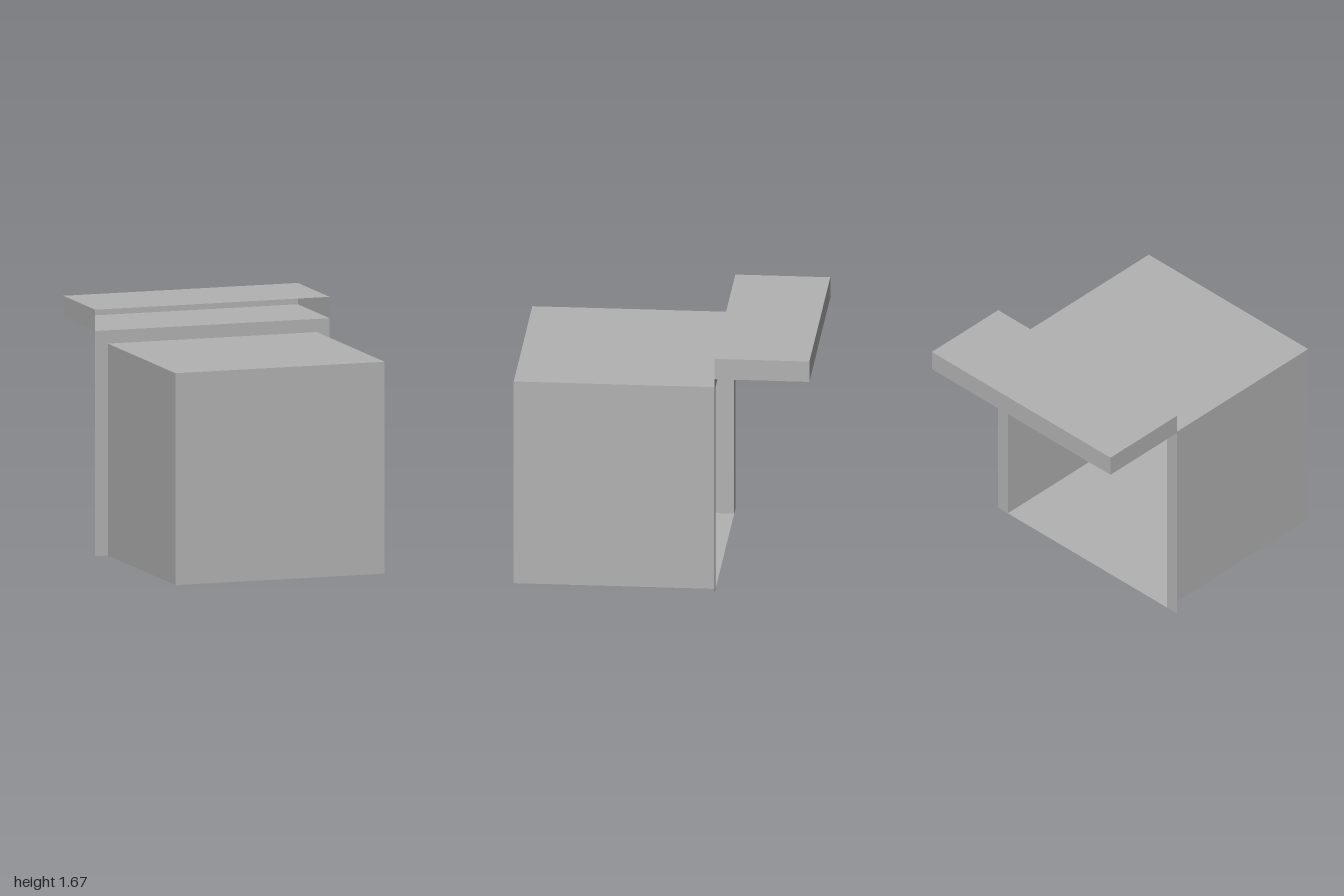
import * as THREE from 'three';

export function createModel() {
  const model = new THREE.Group();
  const grey = new THREE.MeshStandardMaterial({ color: 0xb2b2b2, side: THREE.DoubleSide });
  grey.name = 'plain grey';

  const halfBox = 0.745, boxTop = 1.44;        // main shell
  const halfRim = 0.835, rimTop = 1.53;        // rim round the opening
  const canopyTop = 1.675;
  const front = 1, opening = -0.36, back = -1;

  // Thin rectangular panel, turned to lie across the z, x or y axis
  function panel(parent, name, w, h, position, rx = 0, ry = 0) {
    const mesh = new THREE.Mesh(new THREE.PlaneGeometry(w, h), grey);
    mesh.name = name;
    mesh.position.set(...position);
    mesh.rotation.set(rx, ry, 0);
    parent.add(mesh);
  }

  // Hollow shell of thin panels with one end left open
  function openShell(name, half, y0, y1, z0, z1, closedZ) {
    const group = new THREE.Group();
    group.name = name;
    const h = y1 - y0, d = z1 - z0, y = (y0 + y1) / 2, z = (z0 + z1) / 2;
    for (const s of [-1, 1]) {
      panel(group, s > 0 ? 'leftWall' : 'rightWall', d, h, [s * half, y, z], 0, s * Math.PI / 2);
    }
    panel(group, 'roof', half * 2, d, [0, y1, z], -Math.PI / 2);
    panel(group, 'floor', half * 2, d, [0, y0, z], Math.PI / 2);
    panel(group, 'endWall', half * 2, h, [0, y, closedZ], 0, closedZ > z ? 0 : Math.PI);
    model.add(group);
  }

  // Main compartment opens to the back, canopy opens to the front
  openShell('compartment', halfBox, 0, boxTop, opening, front, front);
  openShell('canopy', halfRim, rimTop, canopyTop, back, opening, back);

  // Flat rim round the sides and top of the compartment's opening
  const outline = new THREE.Shape([
    [-halfRim, 0], [-halfBox, 0], [-halfBox, boxTop], [halfBox, boxTop],
    [halfBox, 0], [halfRim, 0], [halfRim, rimTop], [-halfRim, rimTop],
  ].map(([x, y]) => new THREE.Vector2(x, y)));
  const rim = new THREE.Mesh(new THREE.ShapeGeometry(outline), grey);
  rim.name = 'openingRim';
  rim.position.z = opening;
  model.add(rim);

  return model;
}
